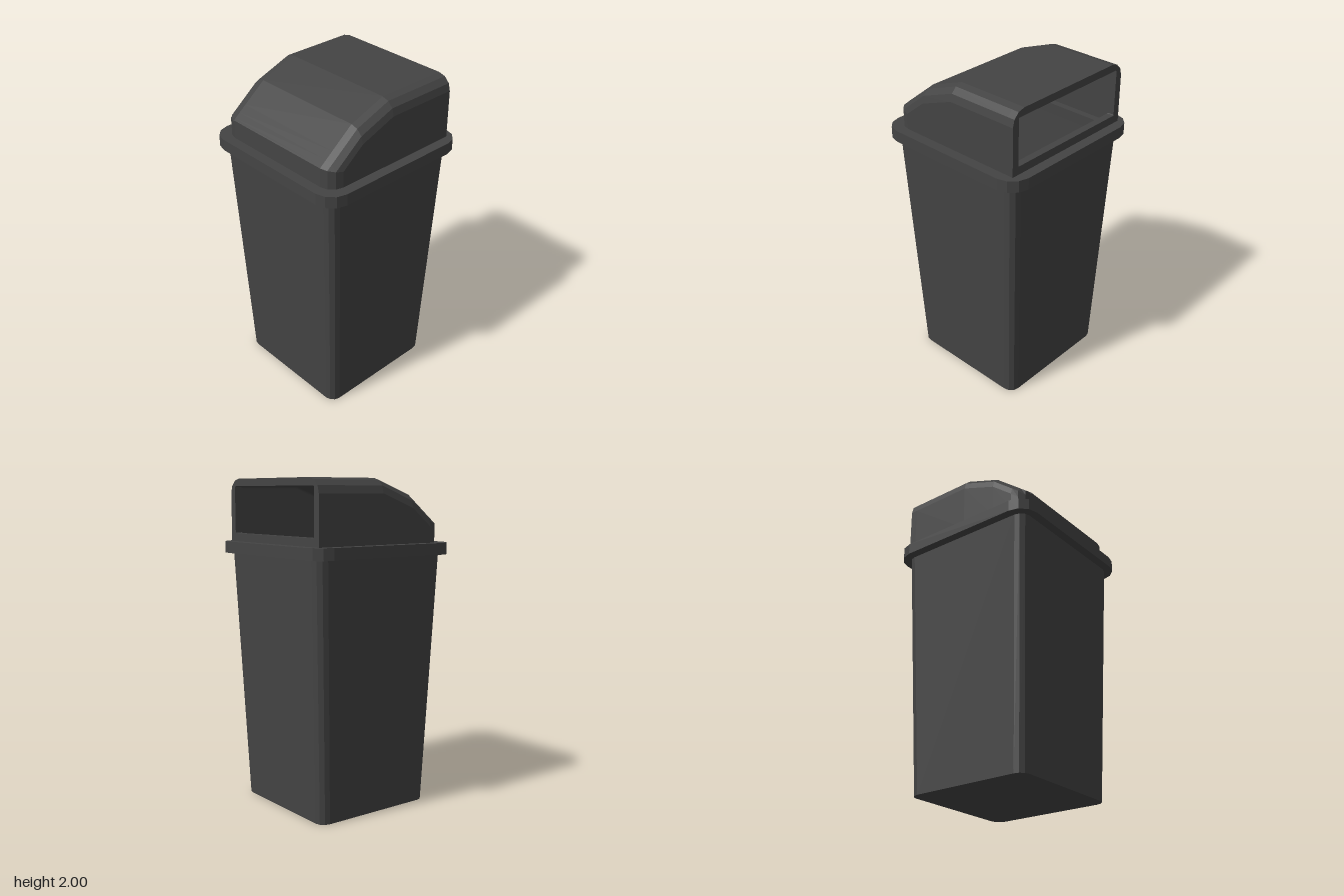
import * as THREE from 'three';

const material = new THREE.MeshStandardMaterial({ color: 0x444444, flatShading: true, side: THREE.DoubleSide });
const SEG = 3; // facets per rounded corner
const WALL = 0.045;

function part(name, geometry) {
  const mesh = new THREE.Mesh(geometry, material);
  mesh.name = name;
  return mesh;
}

// Skins a list of cross-sections that all have the same number of points
function loft(sections, closed) {
  const n = sections[0].length;
  const index = [];
  for (let i = 0; i < sections.length - 1; i++) {
    for (let j = 0; j < (closed ? n : n - 1); j++) {
      const k = (j + 1) % n;
      const a = i * n + j, b = i * n + k, c = a + n, d = b + n;
      index.push(a, c, b, b, c, d);
    }
  }
  const geometry = new THREE.BufferGeometry();
  geometry.setAttribute('position', new THREE.Float32BufferAttribute(sections.flat(2), 3));
  geometry.setIndex(index);
  geometry.computeVertexNormals();
  return geometry;
}

// Outline of a square with faceted corners
function roundedSquare(half, r) {
  const points = [];
  for (let q = 0; q < 4; q++) {
    const mid = (q + 0.5) * Math.PI / 2;
    const cx = Math.sign(Math.cos(mid)) * (half - r);
    const cy = Math.sign(Math.sin(mid)) * (half - r);
    for (let s = 0; s <= SEG; s++) {
      const a = (q + s / SEG) * Math.PI / 2;
      points.push(new THREE.Vector2(cx + r * Math.cos(a), cy + r * Math.sin(a)));
    }
  }
  return points;
}

const ring = (half, r, y) => roundedSquare(half, r).map(p => [p.x, y, p.y]);

// Height of the hood along x: flat, then two slopes down to the back
function hoodTop(x) {
  if (x > 0) return 2;
  if (x > -0.23) return 2 + x * 0.085 / 0.23;
  return 1.915 + (x + 0.23) * 0.18 / 0.227;
}

// Hood skin with half width w, corner radius r, moved in by inset
function hoodSkin(w, r, inset, base, endX) {
  const corner = [0, 1, 2, 3].map(s => s * Math.PI / 2 / SEG);
  const stations = corner.map(a => [-w + r * (1 - Math.sin(a)), w - r + r * (1 - Math.cos(a))]);
  stations.reverse();
  // flat end wall, then the rounded upright corner, then the straight run
  const xs = [[-w, 0], ...stations.map((_, i) => {
    const a = corner[i];
    return [-w + r * (1 - Math.cos(a)), w - r + r * Math.sin(a)];
  }), [-0.23, w], [0, w], [endX, w]];
  return loft(xs.map(([x, half]) => {
    const top = hoodTop(x) - inset;
    const side = [[half, base]];
    for (const a of corner) {
      side.push([Math.min(half, w - r + r * Math.cos(a)), top - r * (1 - Math.sin(a))]);
    }
    const mirrored = side.map(([z, y]) => [-z, y]).reverse();
    return [...side, ...mirrored].map(([z, y]) => [x, y, z]);
  }), false);
}

export function createModel() {
  const model = new THREE.Group();
  model.name = 'swingTopBin';

  // Tapered hollow container: underside, outer wall, lip, inner wall, floor
  model.add(part('container', loft([
    ring(0.001, 0.0005, 0),
    ring(0.405, 0.06, 0),
    ring(0.467, 0.065, 1.56),
    ring(0.467 - WALL, 0.04, 1.56),
    ring(0.405 - WALL, 0.035, WALL),
    ring(0.001, 0.0005, WALL),
  ], true)));

  // Overhanging rim with a square opening
  const rimShape = new THREE.Shape(roundedSquare(0.52, 0.12));
  rimShape.holes.push(new THREE.Path(roundedSquare(0.37, 0.03)));
  const rim = new THREE.ExtrudeGeometry(rimShape, { depth: 0.07, bevelEnabled: false });
  rim.rotateX(-Math.PI / 2).translate(0, 1.55, 0);
  model.add(part('rim', rim));

  // Hood, outside and inside
  const hood = new THREE.Group();
  hood.name = 'hood';
  hood.add(part('hoodOuter', hoodSkin(0.457, 0.088, 0, 1.62, 0.412)));
  hood.add(part('hoodInner', hoodSkin(0.457 - WALL, 0.012, WALL, 1.62, 0.412)));

  // Frame around the opening
  const half = 0.457, r = 0.088;
  const outline = [];
  for (let s = 0; s <= SEG; s++) {
    const a = s / SEG * Math.PI / 2;
    outline.push(new THREE.Vector2(half - r + r * Math.cos(a), 2 - r + r * Math.sin(a)));
  }
  const left = outline.map(p => new THREE.Vector2(-p.x, p.y)).reverse();
  const frameShape = new THREE.Shape([
    new THREE.Vector2(half, 1.62), ...outline, ...left, new THREE.Vector2(-half, 1.62),
  ]);
  const hole = roundedSquare(1, 0.03).map(p => new THREE.Vector2(p.x * 0.412, 1.812 + p.y * 0.143));
  frameShape.holes.push(new THREE.Path(hole));
  const frame = new THREE.ExtrudeGeometry(frameShape, { depth: WALL, bevelEnabled: false });
  frame.rotateY(-Math.PI / 2).translate(half, 0, 0);
  hood.add(part('openingFrame', frame));
  model.add(hood);

  return model;
}
